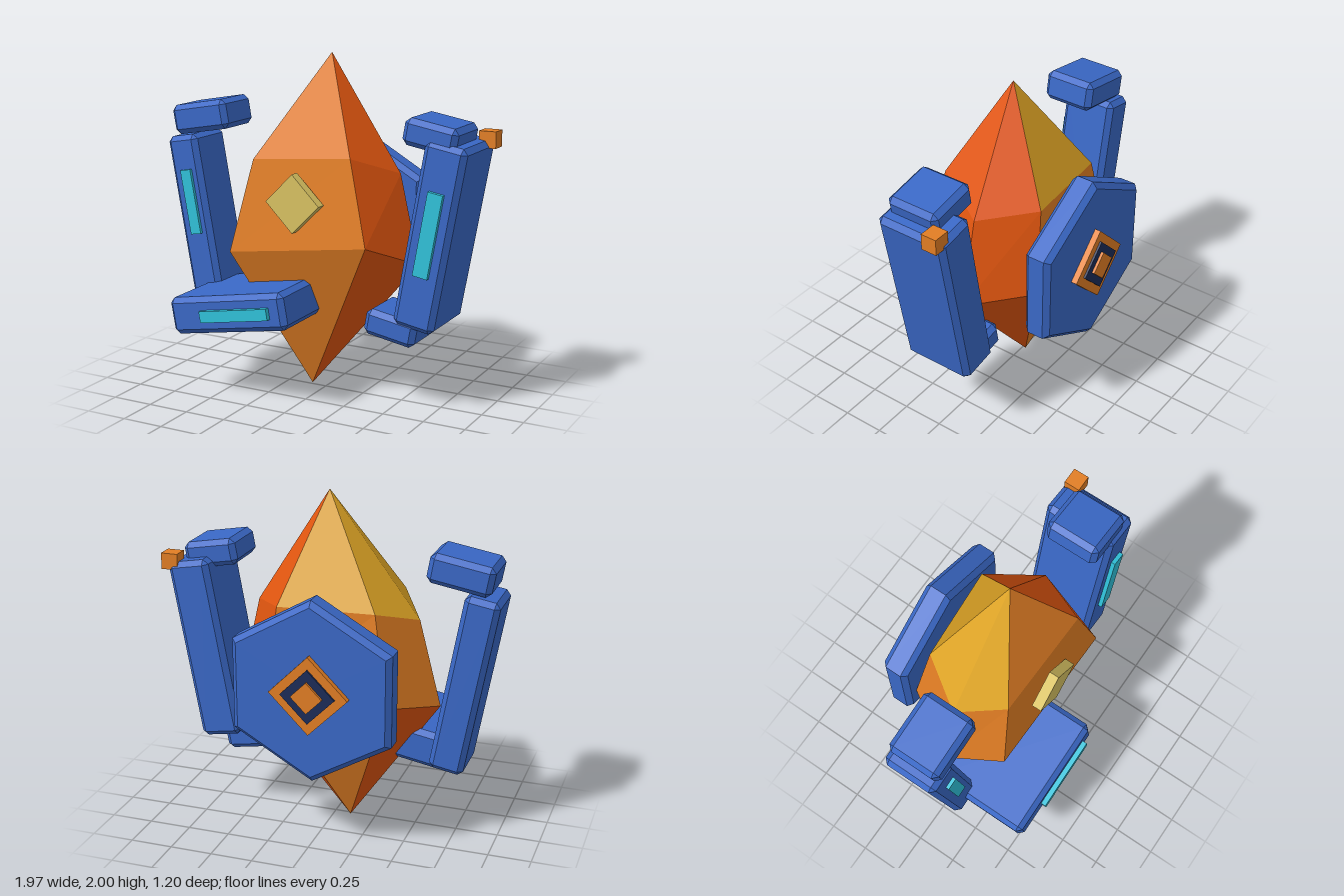
import * as THREE from 'three';
import { ConvexGeometry } from 'three/addons/geometries/ConvexGeometry.js';
import { toCreasedNormals } from 'three/addons/utils/BufferGeometryUtils.js';

const TILT = THREE.MathUtils.degToRad(10);

function makeMaterial(name, color) {
  const m = new THREE.MeshStandardMaterial({ color });
  m.name = name;
  return m;
}

// Box with every edge and corner cut flat
function chamferBox(w, h, d, c = 0.03) {
  const s = [w / 2, h / 2, d / 2];
  const points = [];
  for (const x of [-1, 1]) for (const y of [-1, 1]) for (const z of [-1, 1])
    for (let full = 0; full < 3; full++) {
      const p = s.map((v, i) => (i === full ? v : v - c));
      points.push(new THREE.Vector3(x * p[0], y * p[1], z * p[2]));
    }
  return new ConvexGeometry(points);
}

export function createModel() {
  const model = new THREE.Group();
  model.name = 'armouredCrystal';

  const blue = makeMaterial('armour blue', 0x3a68c6);
  const navy = makeMaterial('dark navy', 0x1c2c58);
  const cyan = makeMaterial('glowing cyan', 0x30c2da);
  const orange = makeMaterial('crystal orange', 0xe27e24);
  const deep = makeMaterial('crystal deep orange', 0xe2560f);
  const gold = makeMaterial('crystal gold', 0xdca224);
  const pale = makeMaterial('pale gold', 0xd8c262);

  const add = (name, geometry, material, x, y, z, angle = 0) => {
    const mesh = new THREE.Mesh(geometry, material);
    mesh.name = name;
    mesh.position.set(x, y, z);
    mesh.rotation.z = angle;
    model.add(mesh);
    return mesh;
  };

  // Crystal: two uneven six-sided rings between a top and a bottom point
  const top = [0.03, 2, -0.02];
  const bottom = [-0.1, 0, -0.02];
  const upper = [
    [0.45, 1.33, -0.06], [0.29, 1.45, 0.26], [-0.35, 1.39, 0.23],
    [-0.51, 1.29, -0.03], [-0.33, 1.39, -0.31], [0.23, 1.39, -0.35],
  ];
  const lower = [
    [0.57, 0.81, -0.06], [0.42, 0.97, 0.33], [-0.48, 0.84, 0.29],
    [-0.64, 0.78, -0.02], [-0.42, 0.87, -0.38], [0.3, 0.87, -0.38],
  ];
  // Facet colour of each side, going round from the model's left
  const upperColors = [deep, orange, gold, gold, gold, deep];
  const middleColors = [deep, orange, orange, orange, orange, deep];
  const lowerColors = [deep, orange, deep, deep, orange, deep];
  const facets = new Map([[orange, []], [deep, []], [gold, []]]);
  for (let i = 0; i < 6; i++) {
    const j = (i + 1) % 6;
    facets.get(upperColors[i]).push(top, upper[j], upper[i]);
    facets.get(middleColors[i]).push(
      upper[i], upper[j], lower[j], upper[i], lower[j], lower[i]);
    facets.get(lowerColors[i]).push(bottom, lower[i], lower[j]);
  }
  for (const [material, points] of facets) {
    const g = new THREE.BufferGeometry();
    g.setAttribute('position', new THREE.Float32BufferAttribute(points.flat(), 3));
    g.computeVertexNormals();
    add('crystalFacets', g, material, 0, 0, 0);
  }

  // Armour blocks: name, width, height, depth, centre, tilt
  const blocks = [
    ['rightArm', 0.205, 1.07, 0.33, -0.795, 0.95, 0.015, TILT],
    ['rightCap', 0.375, 0.175, 0.315, -0.753, 1.597, 0.027, TILT],
    ['rightFoot', 0.765, 0.217, 0.63, -0.34, 0.55, 0.255, TILT],
    ['leftArm', 0.25, 1.075, 0.44, 0.735, 1.03, -0.02, -TILT],
    ['leftCap', 0.32, 0.155, 0.33, 0.72, 1.59, 0.015, -TILT],
    ['leftFoot', 0.32, 0.155, 0.33, 0.495, 0.48, 0.015, -TILT],
  ];
  for (const [name, w, h, d, x, y, z, angle] of blocks)
    add(name, chamferBox(w, h, d), blue, x, y, z, angle);

  // Glowing strips on the block fronts
  const strips = [
    ['rightArmStrip', 0.07, 0.39, -0.81, 1.085, 0.18, TILT],
    ['leftArmStrip', 0.09, 0.485, 0.742, 1.058, 0.205, -TILT],
    ['footStrip', 0.45, 0.067, -0.275, 0.56, 0.58, TILT],
  ];
  for (const [name, w, h, x, y, z, angle] of strips)
    add(name, new THREE.BoxGeometry(w, h, 0.04), cyan, x, y, z, angle);

  // Small cube on the left shoulder
  add('shoulderCube', new THREE.BoxGeometry(0.1, 0.095, 0.095), orange, 0.935, 1.55, -0.185);

  // Front gem
  add('frontGem', new THREE.BoxGeometry(0.24, 0.24, 0.06), pale, -0.03, 1.18, 0.318, Math.PI / 4);

  // Six-sided back shield with cut rims
  const profile = [[0, -0.08], [0.5, -0.08], [0.535, -0.05], [0.535, 0.05], [0.5, 0.08], [0, 0.08]]
    .map(([r, y]) => new THREE.Vector2(r, y));
  const shield = toCreasedNormals(new THREE.LatheGeometry(profile, 6), 0.1);
  shield.rotateX(Math.PI / 2);
  add('backShield', shield, blue, -0.03, 0.97, -0.46);

  // Stacked diamond emblem plates behind the shield
  const plates = [
    ['emblemFrame', 0.325, 0.575, orange],
    ['emblemInset', 0.225, 0.587, navy],
    ['emblemCore', 0.13, 0.603, orange],
  ];
  for (const [name, side, back, material] of plates) {
    const depth = back - 0.53;
    add(name, new THREE.BoxGeometry(side, side, depth), material,
      -0.03, 0.97, -back + depth / 2, Math.PI / 4);
  }

  return model;
}
